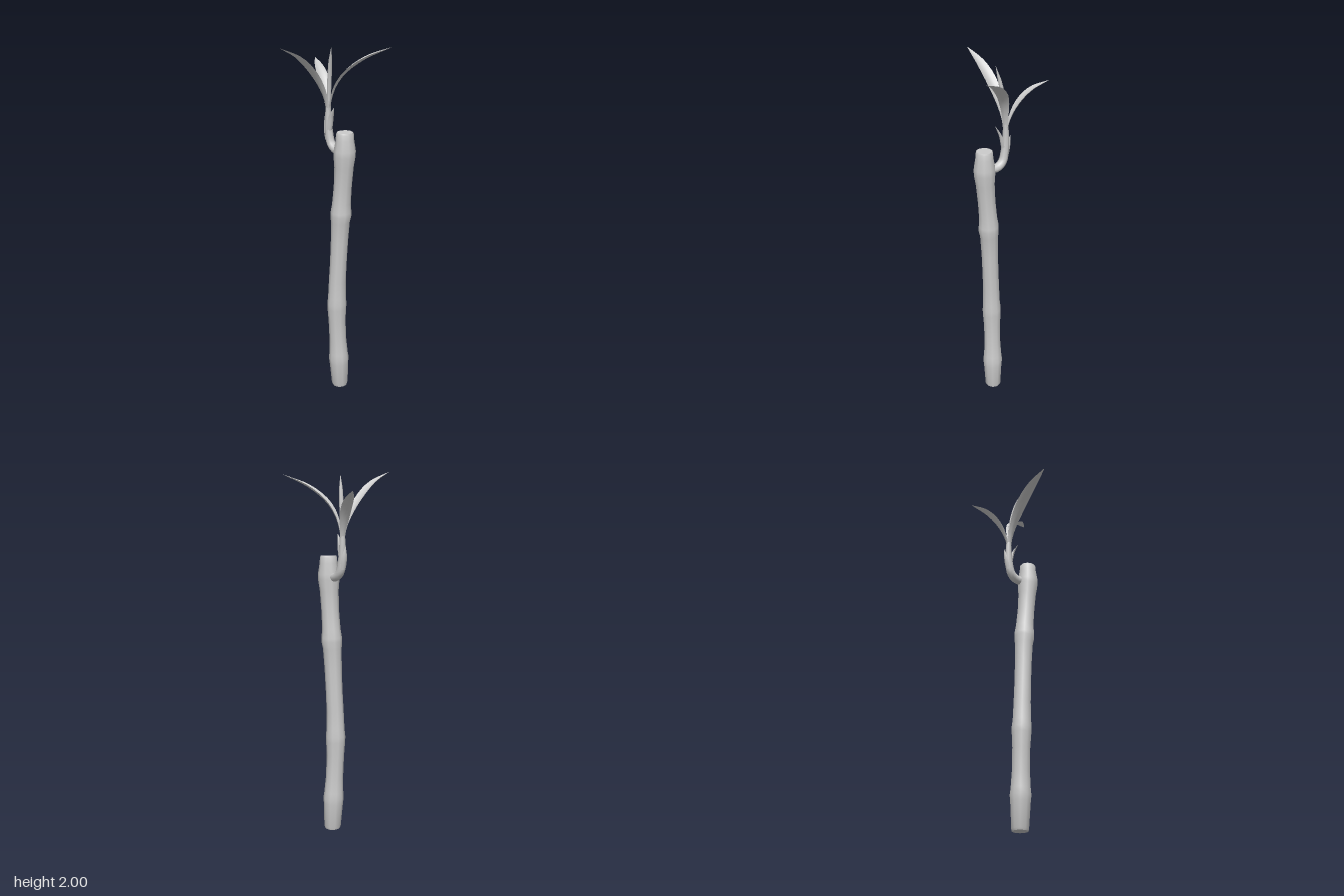
import * as THREE from 'three';
import { toCreasedNormals } from 'three/addons/utils/BufferGeometryUtils.js';

const V = (p) => new THREE.Vector3(...p);
const curveOf = (pts) => new THREE.CatmullRomCurve3(pts.map(V), false, 'centripetal');

// Smoothly sample a list of values at t in 0..1
function sample(list, t) {
  const f = t * (list.length - 1), i = Math.min(Math.floor(f), list.length - 2);
  return THREE.MathUtils.lerp(list[i], list[i + 1], f - i);
}

// Stalk: a ringed lathe whose centre line wanders with height
function stalkGeometry() {
  const profile = [
    [0, 0], [0.043, 0], [0.047, 0.012], [0.055, 0.15], [0.058, 0.18], [0.054, 0.215], [0.049, 0.3],
    [0.049, 0.43], [0.054, 0.51], [0.055, 0.54], [0.051, 0.58], [0.048, 0.68], [0.047, 0.8], [0.048, 0.92],
    [0.052, 1.04], [0.058, 1.08], [0.057, 1.1], [0.051, 1.15], [0.049, 1.25], [0.052, 1.36],
    [0.059, 1.42], [0.059, 1.45], [0.049, 1.51], [0.047, 1.54], [0.043, 1.55], [0, 1.55],
  ].map(([r, y]) => new THREE.Vector2(r, y));
  const g = new THREE.LatheGeometry(profile, 10);
  const spine = curveOf([[-0.008, 0, 0.005], [-0.013, 0.18, 0.009], [-0.022, 0.53, 0.018],
    [0.004, 1.09, 0.026], [0.027, 1.44, 0.04], [0.028, 1.55, 0.04]]);
  const line = spine.getPoints(80);
  const pos = g.attributes.position;
  for (let i = 0; i < pos.count; i++) {
    const y = pos.getY(i);
    const c = line.reduce((a, b) => (Math.abs(b.y - y) < Math.abs(a.y - y) ? b : a));
    pos.setXYZ(i, pos.getX(i) + c.x, y, pos.getZ(i) + c.z);
  }
  return toCreasedNormals(g, 0.75);
}

// Round stem following a path with a changing radius
function stemGeometry(pts, radii, segments = 20, sides = 8) {
  const path = curveOf(pts);
  const g = new THREE.TubeGeometry(path, segments, 1, sides);
  const pos = g.attributes.position, nor = g.attributes.normal;
  for (let i = 0; i < pos.count; i++) {
    const t = Math.floor(i / (sides + 1)) / segments;
    const p = path.getPointAt(t).addScaledVector(new THREE.Vector3().fromBufferAttribute(nor, i), sample(radii, t));
    pos.setXYZ(i, p.x, p.y, p.z);
  }
  return g;
}

// Leaf: cupped cross-sections along a curved midrib
function leafGeometry(pts, halfWidth, cup, outline) {
  const path = curveOf(pts), rows = 14, cols = 4, verts = [], index = [];
  const run = V(pts.at(-1)).sub(V(pts[0]));
  const side = new THREE.Vector3(-run.z, 0, run.x).normalize();
  for (let r = 0; r <= rows; r++) {
    const t = r / rows, w = halfWidth * sample(outline, t);
    const up = side.clone().cross(path.getTangentAt(t)).normalize();
    if (up.y < 0) up.negate();
    for (let c = 0; c <= cols; c++) {
      const s = (c / cols) * 2 - 1;
      const p = path.getPointAt(t).addScaledVector(side, s * w).addScaledVector(up, (s * s - 0.4) * w * cup);
      verts.push(p.x, p.y, p.z);
      if (r < rows && c < cols) {
        const a = r * (cols + 1) + c, b = a + cols + 1;
        index.push(a, a + 1, b, a + 1, b + 1, b);
      }
    }
  }
  const g = new THREE.BufferGeometry();
  g.setAttribute('position', new THREE.Float32BufferAttribute(verts, 3));
  g.setIndex(index);
  g.computeVertexNormals();
  return g;
}

export function createModel() {
  const group = new THREE.Group();
  const solid = new THREE.MeshStandardMaterial({ color: 0xcccccc });
  const thin = new THREE.MeshStandardMaterial({ color: 0xcccccc, side: THREE.DoubleSide });
  const add = (name, geometry, material) => {
    const mesh = new THREE.Mesh(geometry, material);
    mesh.name = name;
    group.add(mesh);
  };

  add('stalk', stalkGeometry(), solid);

  // Side shoot hooking out of the upper node
  add('shoot', stemGeometry([[0.0, 1.435, 0.02], [-0.035, 1.44, -0.012], [-0.062, 1.465, -0.03],
    [-0.075, 1.52, -0.038], [-0.08, 1.6, -0.041], [-0.078, 1.72, -0.04]],
  [0.024, 0.024, 0.023, 0.021, 0.018, 0.014, 0.006]), solid);

  // Young rolled leaf in the middle
  add('rolledLeaf', stemGeometry([[-0.078, 1.62, -0.04], [-0.074, 1.74, -0.036], [-0.066, 1.86, -0.022],
    [-0.052, 1.98, 0.005]], [0.008, 0.01, 0.012, 0.012, 0.01, 0.0005], 16, 6), thin);

  // Three open leaves
  const outline = [0.36, 0.4, 0.58, 0.82, 0.97, 1, 0.85, 0.52, 0.04];
  const leaves = {
    leftLeaf: [[-0.076, 1.61, -0.041], [-0.066, 1.69, -0.042], [-0.044, 1.765, -0.044], [0.005, 1.84, -0.048],
      [0.11, 1.92, -0.05], [0.251, 1.982, -0.053]],
    backLeaf: [[-0.08, 1.6, -0.042], [-0.088, 1.68, -0.055], [-0.105, 1.75, -0.08], [-0.13, 1.81, -0.118],
      [-0.158, 1.85, -0.16], [-0.197, 1.887, -0.231]],
    frontLeaf: [[-0.08, 1.61, -0.038], [-0.09, 1.7, -0.024], [-0.112, 1.78, 0.008], [-0.15, 1.87, 0.067],
      [-0.195, 1.945, 0.14], [-0.254, 2.0, 0.229]],
  };
  for (const [name, pts] of Object.entries(leaves)) {
    add(name, leafGeometry(pts, name === 'backLeaf' ? 0.03 : 0.035, 0.4, outline), thin);
  }

  // Small sheaths hugging the shoot
  const sheath = [0.9, 1, 1, 0.85, 0.5, 0.04];
  add('lowerSheath', leafGeometry([[-0.088, 1.48, -0.046], [-0.098, 1.54, -0.054], [-0.104, 1.605, -0.06]],
    0.018, 0.7, sheath), thin);
  add('upperSheath', leafGeometry([[-0.066, 1.54, -0.026], [-0.056, 1.61, -0.016], [-0.038, 1.668, 0.004]],
    0.018, 0.7, sheath), thin);

  return group;
}
